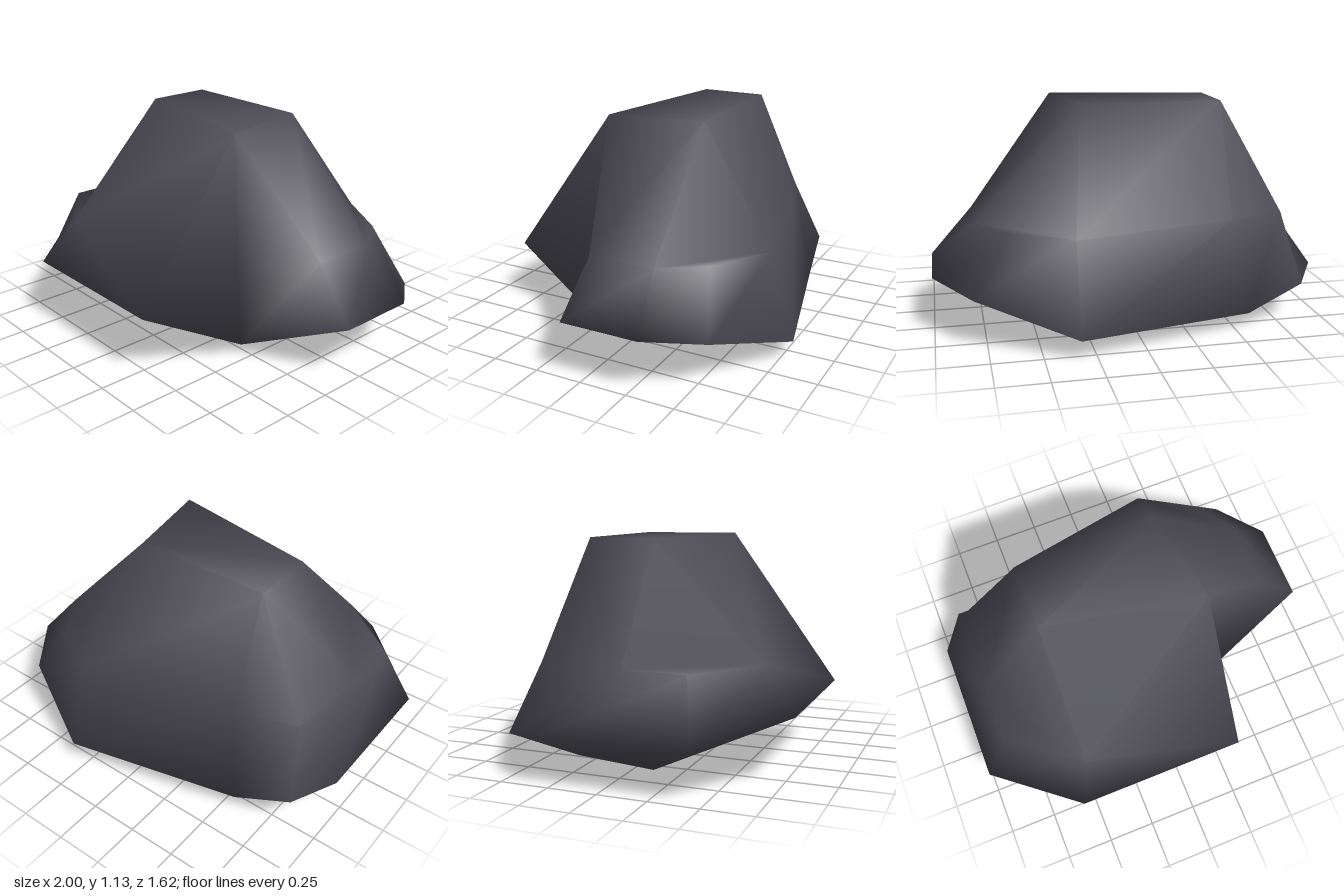
import * as THREE from 'three';
import { mergeVertices } from 'three/addons/utils/BufferGeometryUtils.js';

// Cross-sections of the boulder, 11 points each, clockwise seen from above.
// Points shared by several slots or sections make triangular facets.
const topFrontLeft = [-0.49, 1.13, 0.07], topBackLeft = [-0.49, 1.13, -0.27];
const topBackRight = [0.24, 1.13, -0.27], topFrontRight = [0.33, 1.13, 0.22];
const baseFrontLeft = [-0.57, 0, 0.1], baseBackLeft = [-0.57, 0.03, -0.31];
const baseBackRight = [0.4, 0.075, -0.5];
const notch = [0.45, 0.05, 0.28], prow = [0.33, 0.33, 0.805];

const base = [
  baseFrontLeft, baseBackLeft, baseBackLeft, baseBackLeft, baseBackRight, baseBackRight,
  baseBackRight, notch, notch, notch, baseFrontLeft,
];
const waist = [
  [-1, 0.24, 0.45], [-1, 0.24, -0.32], [-0.87, 0.2, -0.53], [-0.57, 0.08, -0.58],
  [0.33, 0.1, -0.81], [0.81, 0.25, -0.58], [1, 0.29, -0.32], [1, 0.29, 0.1],
  notch, prow, [-0.57, 0.33, 0.805],
];
const shoulder = [
  [-0.85, 0.55, 0.38], [-0.85, 0.55, 0.06], [-0.8, 0.55, -0.38], [-0.5, 0.55, -0.48],
  [0.33, 0.55, -0.68], [0.63, 0.55, -0.5], [0.78, 0.55, -0.28], [0.78, 0.55, 0.07],
  notch, prow, [-0.49, 0.55, 0.64],
];
// Foot of the upper block: cuts two corners of the shoulder, leaving flat ledges
const foot = [...shoulder];
foot[0] = shoulder[10];
foot[5] = shoulder[4];
const top = [
  topFrontLeft, topBackLeft, topBackLeft, topBackLeft, topBackRight, topBackRight,
  topBackRight, topFrontRight, topFrontRight, topFrontRight, topFrontLeft,
];

function loftRock(rings) {
  const n = rings[0].length;
  const positions = [];
  const triangle = (a, b, c) => {
    if (a !== b && b !== c && c !== a) positions.push(...a, ...b, ...c);
  };
  // Side bands
  for (let r = 0; r < rings.length - 1; r++) {
    const lower = rings[r], upper = rings[r + 1];
    for (let i = 0; i < n; i++) {
      const j = (i + 1) % n;
      triangle(lower[j], lower[i], upper[i]);
      triangle(lower[j], upper[i], upper[j]);
    }
  }
  // Base and top facets
  const first = rings[0], last = rings[rings.length - 1];
  for (let i = 1; i < n - 1; i++) {
    triangle(first[0], first[i], first[i + 1]);
    triangle(last[0], last[i + 1], last[i]);
  }
  const geometry = new THREE.BufferGeometry();
  geometry.setAttribute('position', new THREE.Float32BufferAttribute(positions, 3));
  const welded = mergeVertices(geometry);
  welded.computeVertexNormals();
  return welded;
}

export function createModel() {
  const group = new THREE.Group();
  group.name = 'rock';
  const stone = new THREE.MeshStandardMaterial({ color: 0x4c4b55, side: THREE.DoubleSide });
  stone.name = 'dark slate';
  const boulder = new THREE.Mesh(loftRock([base, waist, shoulder, foot, top]), stone);
  boulder.name = 'boulder';
  group.add(boulder);
  return group;
}
